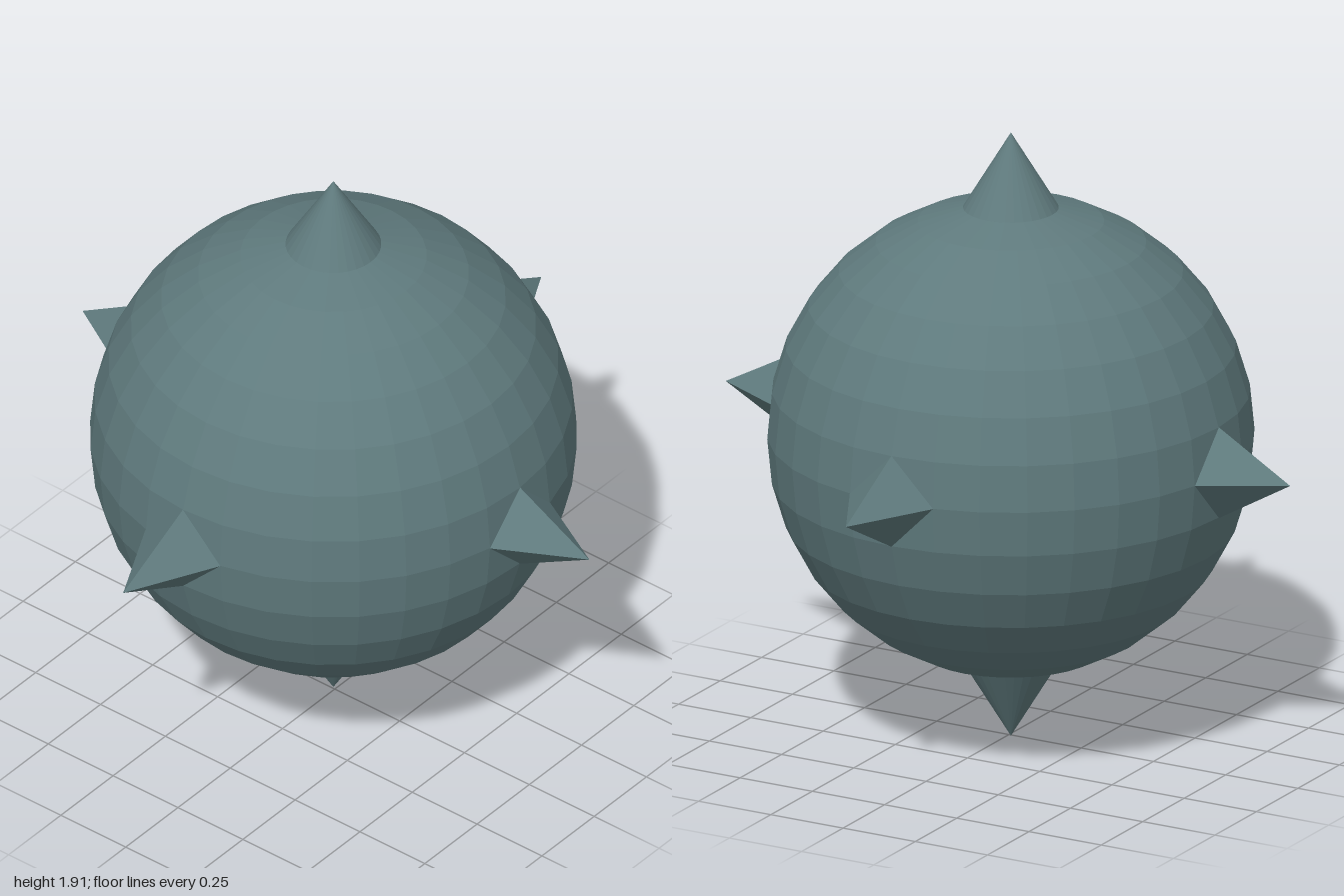
import * as THREE from 'three';

const CENTRE = new THREE.Vector3(-0.01, 0.957, -0.006);
const RADIUS = 0.733;
const BASE = 0.72; // distance from the centre to each spike's base
const SPIKE_RADIUS = 0.144;

export function createModel() {
  const metal = new THREE.MeshStandardMaterial({ color: 0x5f7a7d, flatShading: true });
  metal.name = 'grey green metal';

  const model = new THREE.Group();
  model.name = 'spikedBall';

  // Faceted ball
  const ball = new THREE.Mesh(new THREE.SphereGeometry(RADIUS, 32, 16), metal);
  ball.name = 'ball';
  ball.position.copy(CENTRE);
  model.add(ball);

  // Spike pointing along a direction, its tip at the given distance from the centre
  function addSpike(name, direction, reach, sides) {
    const height = reach - BASE;
    const geometry = new THREE.ConeGeometry(SPIKE_RADIUS, height, sides);
    geometry.translate(0, BASE + height / 2, 0);
    const spike = new THREE.Mesh(geometry, metal);
    spike.name = name;
    spike.position.copy(CENTRE);
    spike.quaternion.setFromUnitVectors(new THREE.Vector3(0, 1, 0), new THREE.Vector3(...direction));
    model.add(spike);
  }

  // Round spikes at the poles
  addSpike('topSpike', [0, 1, 0], 0.957, 32);
  addSpike('bottomSpike', [0, -1, 0], 0.957, 32);

  // Four-sided spikes around the equator
  addSpike('leftSpike', [1, 0, 0], 0.987, 4);
  addSpike('rightSpike', [-1, 0, 0], 0.967, 4);
  addSpike('frontSpike', [0, 0, 1], 1.006, 4);
  addSpike('backSpike', [0, 0, -1], 0.994, 4);

  return model;
}
